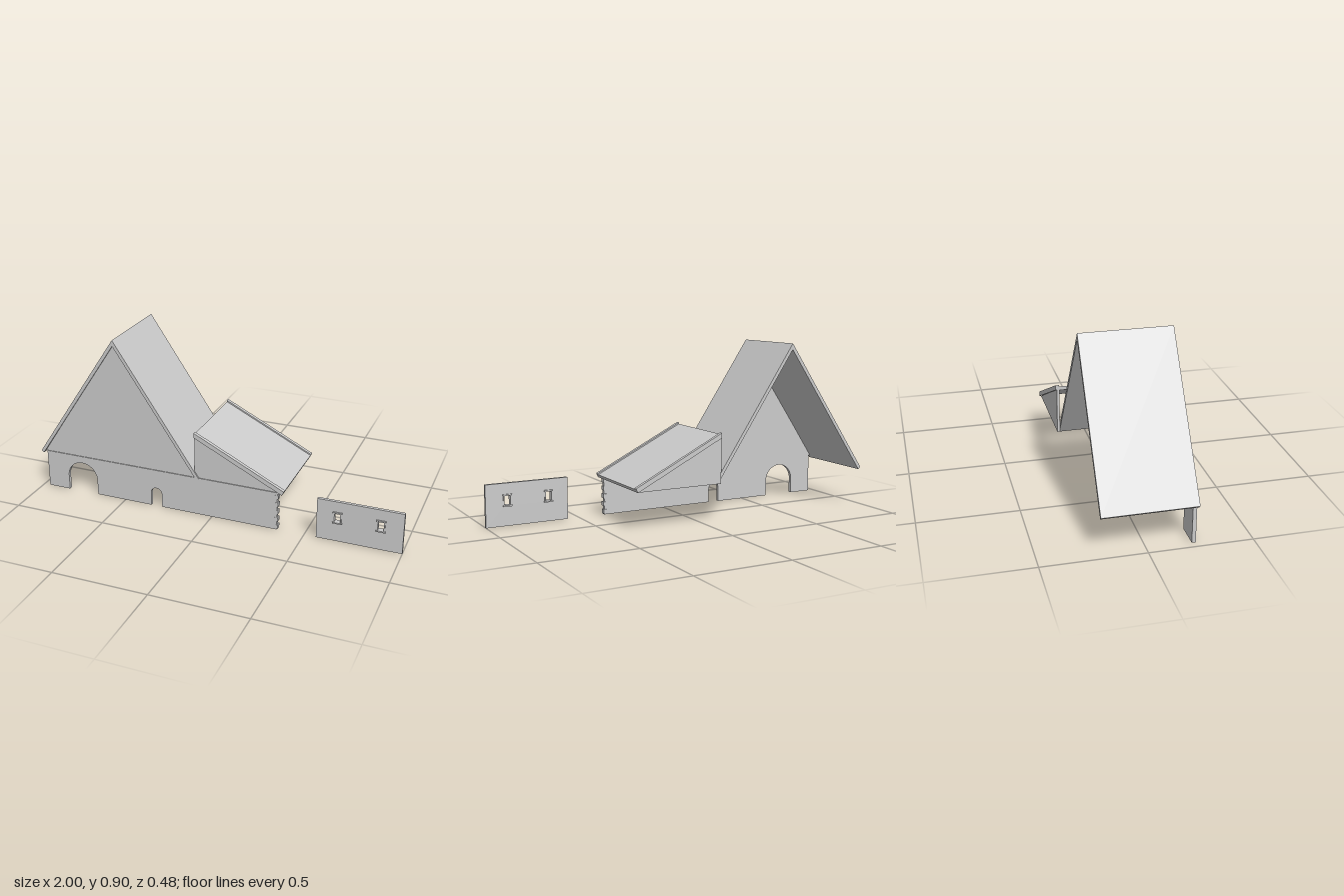
import * as THREE from 'three';

const material = new THREE.MeshStandardMaterial({ color: 0xcccccc, flatShading: true, side: THREE.DoubleSide });

function add(group, name, geometry) {
  const mesh = new THREE.Mesh(geometry, material);
  mesh.name = name;
  group.add(mesh);
  return mesh;
}

function outline(points) {
  return new THREE.Shape(points.map(([x, y]) => new THREE.Vector2(x, y)));
}

// Flat panel with its outline in x, y, reaching from z0 to z1
function panel(group, name, shape, z0, z1) {
  const geometry = new THREE.ExtrudeGeometry(shape, { depth: z1 - z0, bevelEnabled: false, curveSegments: 12 });
  geometry.translate(0, 0, z0);
  return add(group, name, geometry);
}

function box(group, name, x0, x1, y0, y1, z0, z1) {
  const mesh = add(group, name, new THREE.BoxGeometry(x1 - x0, y1 - y0, z1 - z0));
  mesh.position.set((x0 + x1) / 2, (y0 + y1) / 2, (z0 + z1) / 2);
  return mesh;
}

// Doorway cut up from the bottom edge, drawn from left to right
function cutArch(shape, centre, radius, springY) {
  shape.lineTo(centre - radius, 0);
  shape.lineTo(centre - radius, springY);
  shape.absarc(centre, springY, radius, Math.PI, 0, true);
  shape.lineTo(centre + radius, 0);
}

export function createModel() {
  const model = new THREE.Group();
  model.name = 'house';

  // Long front wall with two arched doorways
  const wall = new THREE.Shape();
  wall.moveTo(-0.965, 0);
  cutArch(wall, -0.753, 0.087, 0.085);
  cutArch(wall, -0.315, 0.031, 0.074);
  wall.lineTo(0.355, 0);
  wall.lineTo(0.355, 0.21);
  wall.lineTo(-0.965, 0.21);
  panel(model, 'frontWall', wall, 0.215, 0.234);

  // Interlocking blocks on the corner of the wall
  for (let i = 0; i < 5; i++) {
    const y = 0.005 + i * 0.042;
    box(model, 'cornerBlock', 0.343, 0.361, y, y + 0.022, 0.209, 0.235);
  }

  // Main gable
  panel(model, 'mainGable', outline([[-0.975, 0.21], [-0.095, 0.21], [-0.535, 0.875]]), 0.215, 0.23);

  // Main roof, two mirrored steep slopes, open at the back
  for (const side of [-1, 1]) {
    const slope = [[0, 0.9], [0.465, 0.207], [0.452, 0.195], [0, 0.868]];
    panel(model, 'mainRoofSlope', outline(slope.map(([x, y]) => [-0.535 + side * x, y])), -0.22, 0.237);
  }

  // Lean-to roof with gable triangles and edge boards at both ends
  panel(model, 'leanToRoof', outline([[-0.095, 0.454], [0.387, 0.216], [0.38, 0.2], [-0.095, 0.434]]), -0.222, 0.218);
  for (const [z0, z1, face] of [[0.217, 0.237, 0.23], [-0.24, -0.22, -0.233]]) {
    panel(model, 'leanToEdgeBoard',
      outline([[-0.095, 0.462], [0.39, 0.222], [0.38, 0.2], [-0.095, 0.436]]), z0, z1);
    panel(model, 'leanToGable', outline([[-0.095, 0.2], [0.375, 0.2], [-0.095, 0.44]]),
      Math.min(face, face > 0 ? z0 : z1), Math.max(face, face > 0 ? z0 : z1));
  }

  // Separate wall with two framed windows
  const sideWall = new THREE.Group();
  sideWall.name = 'separateWall';
  model.add(sideWall);
  const plate = outline([[0.562, 0], [1, 0], [1, 0.22], [0.562, 0.22]]);
  const windows = [0.668, 0.887];
  for (const x of windows) {
    plate.holes.push(outline([[x - 0.018, 0.105], [x - 0.018, 0.158], [x + 0.018, 0.158], [x + 0.018, 0.105]]));
  }
  panel(sideWall, 'windowWall', plate, 0.215, 0.232);
  for (const x of windows) {
    for (const y of [0.1, 0.156]) {
      box(sideWall, 'windowLedge', x - 0.024, x + 0.024, y, y + 0.007, 0.208, 0.24);
    }
    for (const side of [-1, 1]) {
      const jamb = x + side * 0.018;
      box(sideWall, 'windowJamb', jamb - 0.003, jamb + 0.003, 0.105, 0.158, 0.211, 0.236);
    }
  }

  return model;
}
